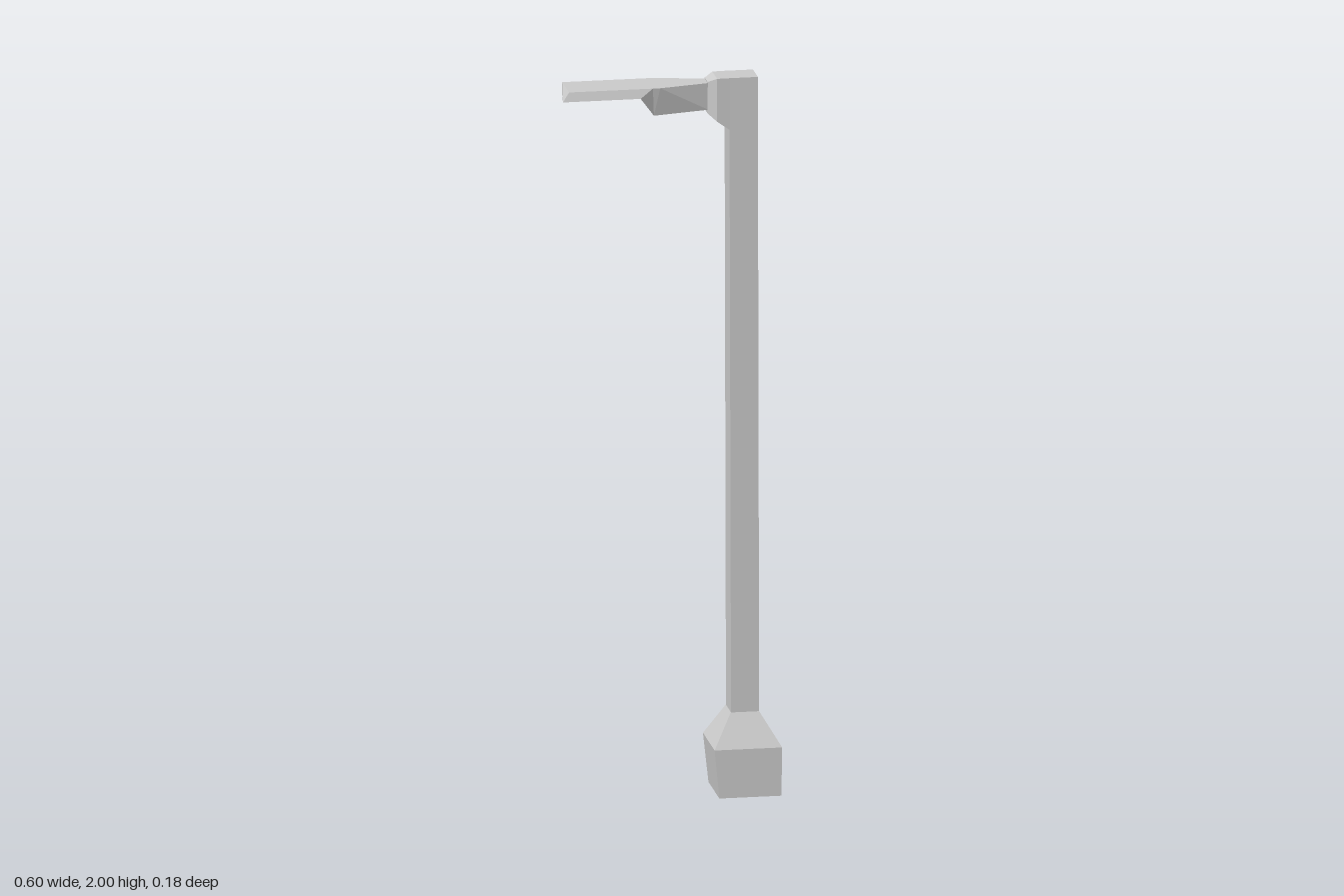
import * as THREE from 'three';

const material = new THREE.MeshStandardMaterial({ color: 0xcccccc, flatShading: true });

// Skin a series of four-cornered cross-sections and cap both ends
function loft(name, sections) {
  const pos = [];
  const quad = (a, b, c, d) => pos.push(...a, ...b, ...c, ...a, ...c, ...d);
  for (let i = 0; i < sections.length - 1; i++) {
    const s = sections[i], t = sections[i + 1];
    for (let j = 0; j < 4; j++) {
      const k = (j + 1) % 4;
      quad(s[j], s[k], t[k], t[j]);
    }
  }
  quad(...[...sections[0]].reverse());
  quad(...sections[sections.length - 1]);
  const geometry = new THREE.BufferGeometry();
  geometry.setAttribute('position', new THREE.Float32BufferAttribute(pos, 3));
  geometry.computeVertexNormals();
  const mesh = new THREE.Mesh(geometry, material);
  mesh.name = name;
  return mesh;
}

// Horizontal section at height y, for parts that rise
const level = (y, x0, x1, z0, z1) => [[x0, y, z1], [x1, y, z1], [x1, y, z0], [x0, y, z0]];

// Upright section with separate bottom and top edges, for parts that reach towards -x
const upright = ([bx, by, bBack, bFront], [tx, ty, tBack, tFront]) =>
  [[bx, by, bFront], [tx, ty, tFront], [tx, ty, tBack], [bx, by, bBack]];

export function createModel() {
  const model = new THREE.Group();
  model.name = 'streetLamp';

  // Footing block with a sloped shoulder
  model.add(loft('base', [
    level(0, 0.125, 0.295, -0.08, 0.092),
    level(0.135, 0.112, 0.297, -0.092, 0.092),
    level(0.225, 0.165, 0.243, -0.04, 0.04),
  ]));

  // Slim square post
  model.add(loft('post', [
    level(0.22, 0.166, 0.243, -0.04, 0.04),
    level(2, 0.162, 0.24, -0.04, 0.037),
  ]));

  // Chamfered bracket at the top of the post
  model.add(loft('bracket', [
    upright([0.163, 1.855, -0.04, 0.037], [0.163, 2, -0.04, 0.037]),
    upright([0.128, 1.88, -0.038, 0.038], [0.128, 2, -0.038, 0.038]),
    upright([0.105, 1.9, -0.024, 0.022], [0.105, 1.988, -0.024, 0.022]),
  ]));

  // Flaring arm that steps up into a thin, slightly skewed lamp head
  const head = loft('armAndLampHead', [
    upright([0.107, 1.91, -0.022, 0.021], [0.107, 1.985, -0.024, 0.022]),
    upright([-0.045, 1.905, -0.038, 0.038], [-0.03, 1.985, -0.055, 0.052]),
    upright([-0.085, 1.96, -0.055, 0.06], [-0.05, 1.985, -0.055, 0.052]),
    upright([-0.298, 1.96, -0.055, 0.06], [-0.28, 1.985, -0.055, 0.052]),
  ]);
  // Pull the back lower corner of the tip inwards
  const p = head.geometry.attributes.position;
  for (let i = 0; i < p.count; i++) {
    if (p.getX(i) < -0.29 && p.getZ(i) < 0) p.setX(i, -0.281);
  }
  head.geometry.computeVertexNormals();
  model.add(head);

  return model;
}
